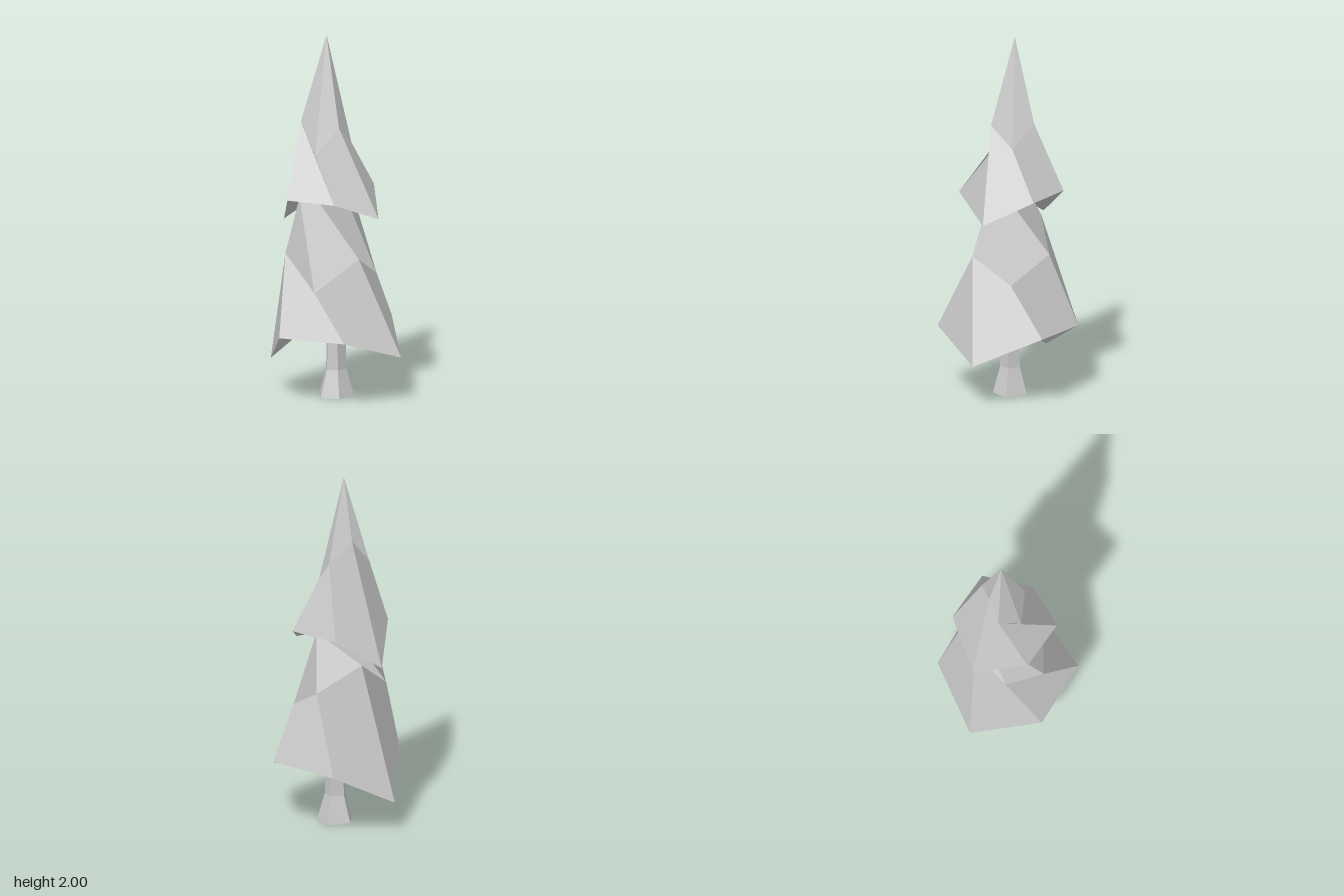
import * as THREE from 'three';

// Faceted skin between successive rings (listed top to bottom, clockwise from above).
// A ring holding a single point is a tip. Each four-cornered facet gets one normal,
// even where it is twisted; swept[r] picks which way band r is split.
function loft(name, rings, sides, swept) {
  const pos = [], nor = [];
  for (let r = 0; r < rings.length - 1; r++) {
    for (let i = 0; i < sides; i++) {
      const corner = (ring, k) => new THREE.Vector3(...ring[k % ring.length]);
      const upA = corner(rings[r], i), upB = corner(rings[r], i + 1);
      const loA = corner(rings[r + 1], i), loB = corner(rings[r + 1], i + 1);
      const normal = upA.clone().sub(loB).cross(upB.clone().sub(loA)).normalize();
      const faces = swept[r]
        ? [[loB, loA, upB], [loA, upA, upB]]
        : [[loB, loA, upA], [loB, upA, upB]];
      for (const [a, b, c] of faces) {
        if (a.equals(b) || b.equals(c)) continue;
        for (const p of [a, b, c]) {
          pos.push(p.x, p.y, p.z);
          nor.push(normal.x, normal.y, normal.z);
        }
      }
    }
  }
  const geometry = new THREE.BufferGeometry();
  geometry.setAttribute('position', new THREE.Float32BufferAttribute(pos, 3));
  geometry.setAttribute('normal', new THREE.Float32BufferAttribute(nor, 3));
  const mesh = new THREE.Mesh(geometry, new THREE.MeshStandardMaterial({ color: 0xcccccc }));
  mesh.name = name;
  return mesh;
}

// Rings start at the back left corner.
const tip = [[-0.055, 2, -0.005]];
const upperBend = [
  [-0.055, 1.53, -0.135], [0.06, 1.40, -0.075], [0.06, 1.51, 0.07],
  [-0.055, 1.35, 0.128], [-0.175, 1.52, 0.065], [-0.13, 1.65, -0.03],
];
const upperRim = [
  [-0.18, 1.14, -0.24], [0.105, 1.14, -0.25], [0.255, 1.005, -0.02],
  [0.12, 1.12, 0.24], [-0.16, 1.12, 0.25], [-0.315, 0.95, -0.005],
];
const neck = [
  [-0.05, 1.09, -0.14], [0.07, 1.09, -0.085], [0.10, 1.07, 0.02],
  [-0.03, 1.105, 0.137], [-0.155, 1.11, 0.12], [-0.17, 1.06, -0.02],
];
// The lower foliage is turned one corner against the neck
const turnedNeck = [...neck.slice(1), neck[0]];
const lowerBend = [
  [-0.052, 0.81, -0.24], [0.175, 0.67, -0.15], [0.195, 0.80, 0.095],
  [0.0, 0.62, 0.24], [-0.225, 0.80, 0.15], [-0.22, 0.96, -0.06],
];
const lowerRim = [
  [-0.22, 0.38, -0.31], [0.16, 0.40, -0.35], [0.38, 0.245, -0.045],
  [0.22, 0.375, 0.31], [-0.16, 0.375, 0.345], [-0.38, 0.175, 0.025],
];

// Hollow underside rises to a small ring around the trunk
const collar = lowerRim.map(([x, , z]) => [x * 0.14, 0.54, z * 0.14 - 0.01]);

// Five-sided trunk, flared at the foot
const foot = [[-0.02, -0.11], [0.09, -0.055], [0.06, 0.06], [-0.043, 0.08], [-0.1, -0.01]];
const trunkRing = (y, s) => foot.map(([x, z]) => [x * s - 0.003, y, (z + 0.013) * s - 0.013]);

export function createModel() {
  const tree = new THREE.Group();
  tree.name = 'tree';
  tree.add(
    loft('upperFoliage', [tip, upperBend, upperRim, neck], 6, [true, true, true]),
    loft('lowerFoliage', [turnedNeck, lowerBend, lowerRim, collar], 6, [false, false, true]),
    loft('trunk', [trunkRing(0.55, 0.48), trunkRing(0.15, 0.58), trunkRing(0, 1), [[0, 0, -0.013]]],
      5, [false, false, false]),
  );
  return tree;
}
